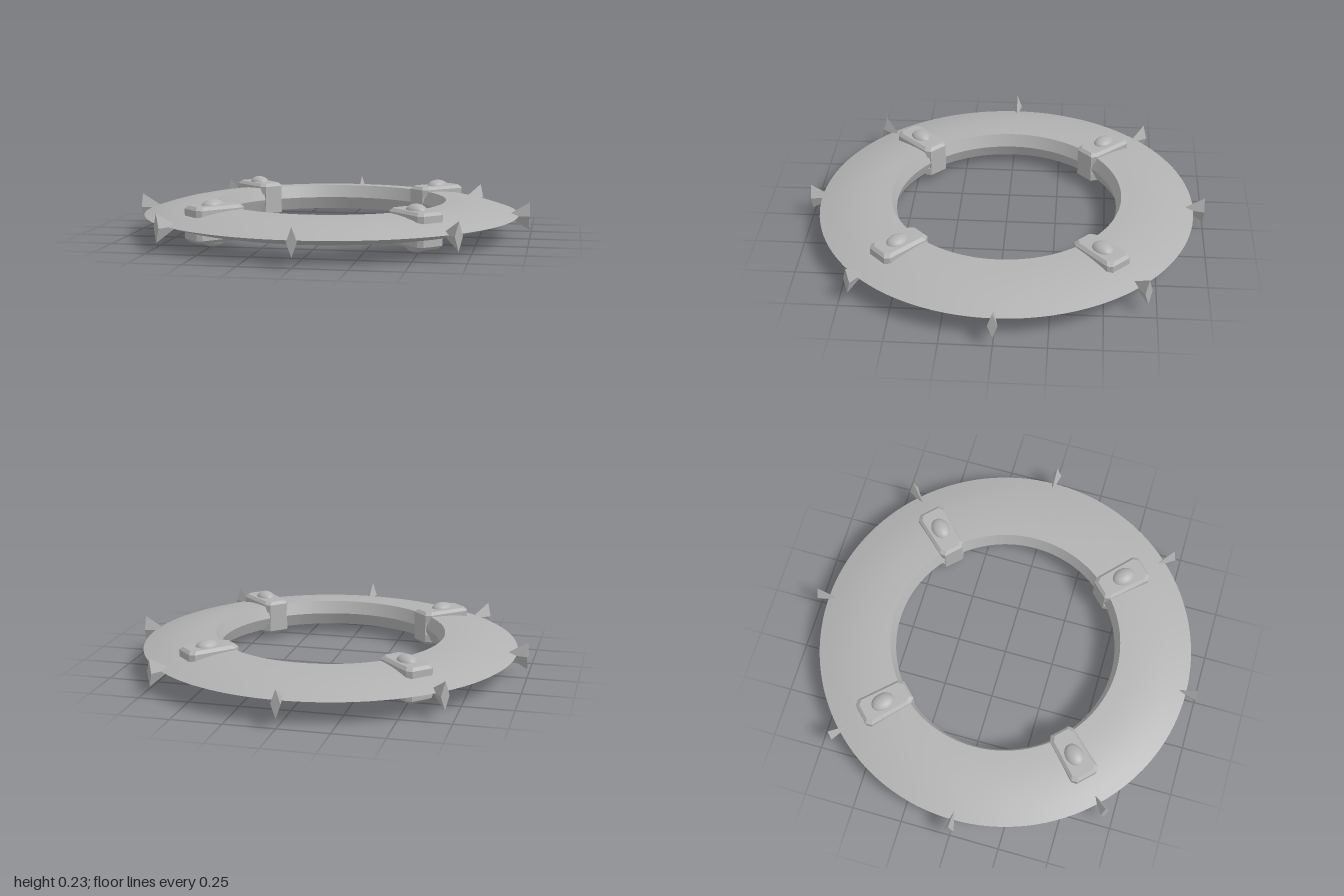
import * as THREE from 'three';
import { toCreasedNormals } from 'three/addons/utils/BufferGeometryUtils.js';
import { ConvexGeometry } from 'three/addons/geometries/ConvexGeometry.js';

const MID = 0.115; // height of the ring's mid plane

// Solid from stacked outlines: each level is [height, inset], outline is half of a mirrored [r, halfWidth] list
function stackedBlock(outline, levels) {
  const rs = outline.map(p => p[0]);
  const centre = (Math.min(...rs) + Math.max(...rs)) / 2;
  const points = [];
  for (const [h, inset] of levels)
    for (const [r, w] of outline)
      for (const side of [-1, 1])
        points.push(new THREE.Vector3(r - Math.sign(r - centre) * inset, h, side * (w - inset)));
  return new ConvexGeometry(points);
}

export function createModel() {
  const model = new THREE.Group();
  model.name = 'spikedRing';
  const metal = new THREE.MeshStandardMaterial({ color: 0xb2b2b2 });
  metal.name = 'grey metal';

  const add = (parent, name, geometry) => {
    const mesh = new THREE.Mesh(geometry, metal);
    mesh.name = name;
    parent.add(mesh);
    return mesh;
  };

  // Blade ring: sharp outer rim, domed faces, V-shaped inner wall
  const face = [[0.58, 0.064], [0.64, 0.0625], [0.7, 0.058], [0.76, 0.05], [0.82, 0.038], [0.88, 0.0215]];
  const profile = [
    ...face.map(([r, h]) => new THREE.Vector2(r, -h)),
    new THREE.Vector2(0.945, 0),
    ...face.slice().reverse().map(([r, h]) => new THREE.Vector2(r, h)),
    new THREE.Vector2(0.556, 0),
    new THREE.Vector2(0.58, -0.064),
  ];
  const ring = add(model, 'bladeRing', toCreasedNormals(new THREE.LatheGeometry(profile, 128), 0.35));
  ring.position.y = MID;

  // Spikes: diamond pyramids with the point turned inward
  const spikeGeometry = new THREE.ConeGeometry(1, 0.115, 4).toNonIndexed();
  spikeGeometry.scale(0.07, 1, 0.024);
  spikeGeometry.rotateZ(Math.PI / 2);
  spikeGeometry.translate(0.9425, 0, 0);
  spikeGeometry.computeVertexNormals();
  for (let i = 0; i < 8; i++) {
    const spike = add(model, 'spike', spikeGeometry);
    spike.position.y = MID;
    spike.rotation.y = i * Math.PI / 4;
  }

  // Clamps: chamfered jaws above and below, joined around the inner wall
  const jawGeometry = stackedBlock(
    [[0.55, 0.05], [0.575, 0.068], [0.795, 0.075], [0.817, 0.055]],
    [[0.032, 0], [0.072, 0], [0.087, 0.014]]);
  const bridgeGeometry = new THREE.BoxGeometry(0.045, 0.1, 0.1);
  const studGeometry = new THREE.SphereGeometry(1, 32, 16);
  for (let i = 0; i < 4; i++) {
    const clamp = new THREE.Group();
    clamp.name = 'clamp';
    clamp.position.y = MID;
    clamp.rotation.y = Math.PI / 4 + i * Math.PI / 2;
    model.add(clamp);
    add(clamp, 'clampBridge', bridgeGeometry).position.x = 0.5725;
    for (const turn of [0, Math.PI]) {
      const half = new THREE.Group();
      half.name = turn ? 'lowerJaw' : 'upperJaw';
      half.rotation.x = turn;
      clamp.add(half);
      add(half, 'jaw', jawGeometry);
      // Oval stud
      const stud = add(half, 'stud', studGeometry);
      stud.position.set(0.693, 0.08, 0);
      stud.scale.set(0.06, 0.035, 0.046);
    }
  }
  return model;
}
